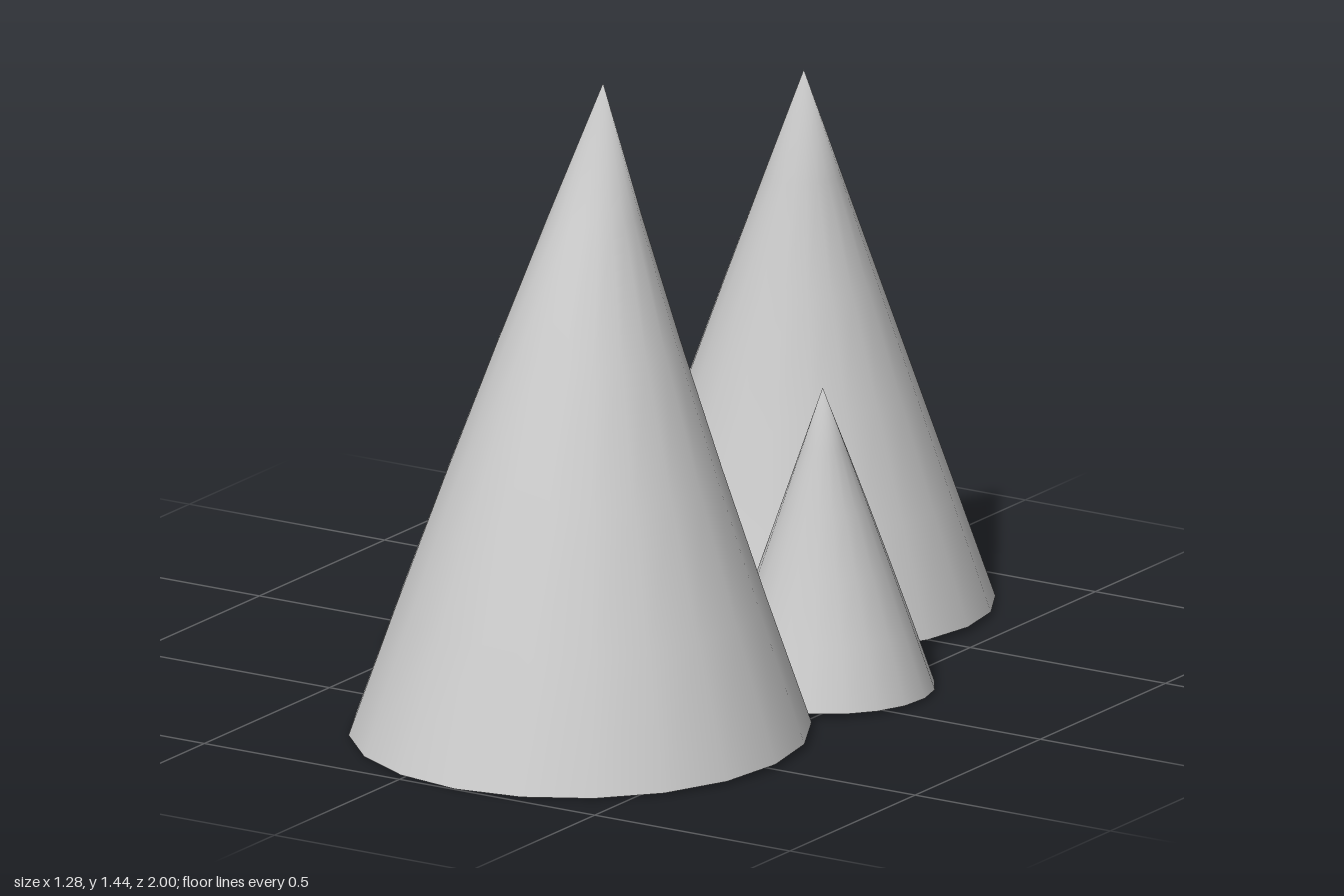
import * as THREE from 'three';

const SIDES = 20;
const RINGS = 5;

// Open cone of unit base radius whose spine bends towards +x as it rises
function bentCone(height, lean) {
  const positions = [];
  const index = [];
  for (let r = 0; r < RINGS; r++) {
    const t = r / RINGS;
    for (let s = 0; s < SIDES; s++) {
      const a = (s / SIDES) * Math.PI * 2;
      const x = Math.cos(a) * (1 - t);
      const z = Math.sin(a) * (1 - t);
      const lift = 0.02 * (1 + x) * (1 - t); // rim rises slightly on the leaning side
      positions.push(x + lean * t * t, t * height + lift, z);
    }
  }
  positions.push(lean, height, 0);
  const tip = RINGS * SIDES;
  for (let r = 0; r < RINGS; r++) {
    for (let s = 0; s < SIDES; s++) {
      const a = r * SIDES + s;
      const b = r * SIDES + ((s + 1) % SIDES);
      if (r === RINGS - 1) index.push(a, tip, b);
      else index.push(a, a + SIDES, b, b, a + SIDES, b + SIDES);
    }
  }
  const geometry = new THREE.BufferGeometry();
  geometry.setAttribute('position', new THREE.Float32BufferAttribute(positions, 3));
  geometry.setIndex(index);
  geometry.computeVertexNormals();
  return geometry;
}

export function createModel() {
  const group = new THREE.Group();
  group.name = 'coneCluster';
  const grey = new THREE.MeshStandardMaterial({ color: 0xcccccc, side: THREE.DoubleSide });
  grey.name = 'light grey';

  // Base centre, radius, tip height and tip offset from the base centre
  const cones = [
    { name: 'frontCone', x: 0.14, z: 0.497, radius: 0.5, height: 1.44, dx: 0, dz: -0.092 },
    { name: 'backCone', x: 0.015, z: -0.578, radius: 0.422, height: 1.23, dx: 0.055, dz: 0.072 },
    { name: 'rightCone', x: -0.27, z: -0.052, radius: 0.375, height: 1.08, dx: 0.058, dz: -0.043 },
    { name: 'leftSmallCone', x: 0.4, z: -0.08, radius: 0.237, height: 0.69, dx: 0.022, dz: 0.048 },
  ];
  for (const c of cones) {
    const lean = Math.hypot(c.dx, c.dz) / c.radius;
    const mesh = new THREE.Mesh(bentCone(c.height / c.radius, lean), grey);
    mesh.name = c.name;
    mesh.scale.setScalar(c.radius);
    mesh.rotation.y = Math.atan2(-c.dz, c.dx);
    mesh.position.set(c.x, 0, c.z);
    group.add(mesh);
  }
  return group;
}
